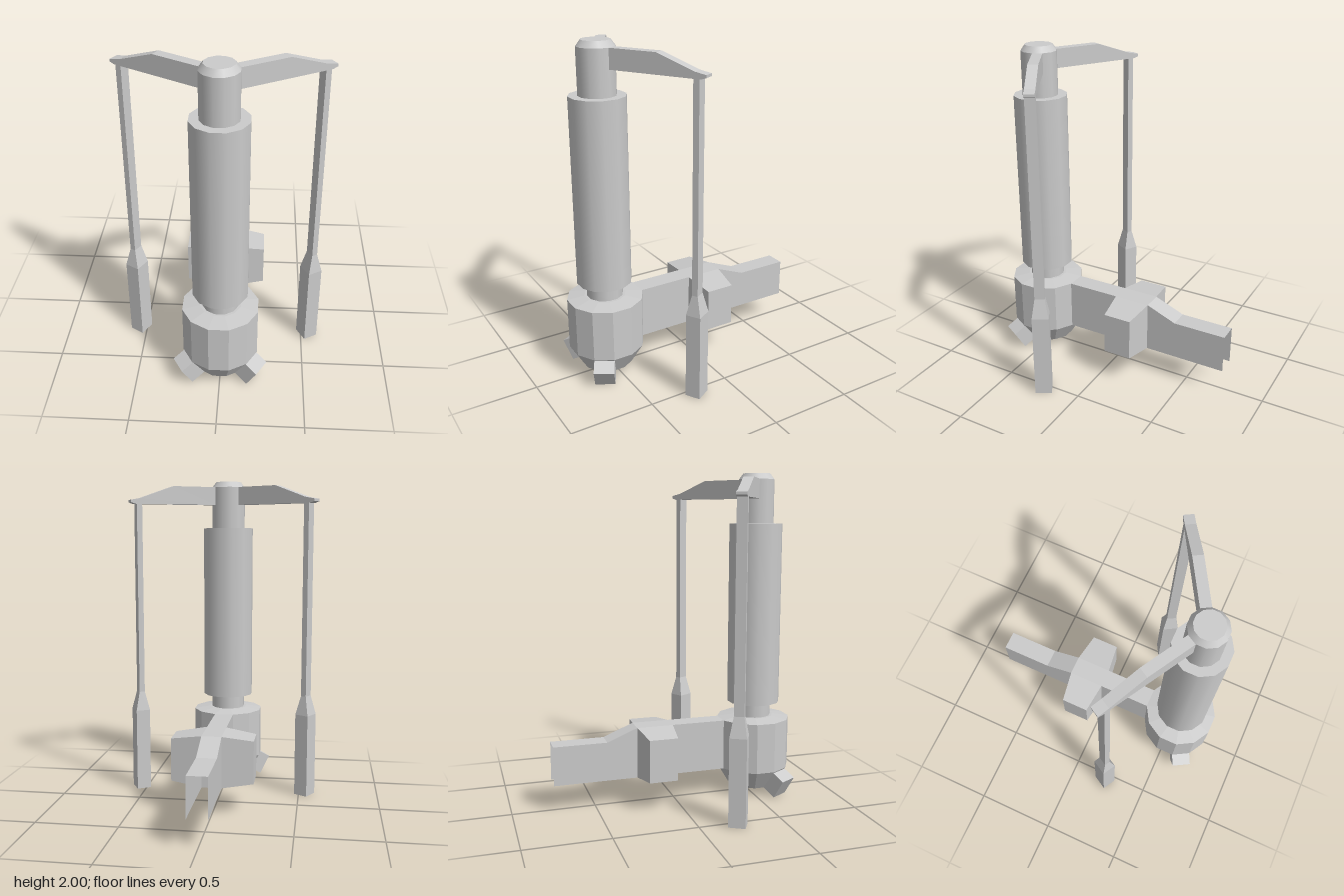
import * as THREE from 'three';

const flat = new THREE.MeshStandardMaterial({ color: 0xcccccc, flatShading: true });
const smooth = new THREE.MeshStandardMaterial({ color: 0xcccccc });
const shell = new THREE.MeshStandardMaterial({ color: 0xcccccc, flatShading: true, side: THREE.DoubleSide });

const SIDES = 12;
const TURN = Math.PI / SIDES;
const toCorner = 1 / Math.cos(TURN); // flat-to-flat radius -> corner radius

function add(parent, name, geometry, material) {
  const mesh = new THREE.Mesh(geometry, material);
  mesh.name = name;
  parent.add(mesh);
  return mesh;
}

// Upright twelve-sided cylinder from y0 to y1
function drum(parent, name, r0, r1, y0, y1) {
  const g = new THREE.CylinderGeometry(r1 * toCorner, r0 * toCorner, y1 - y0, SIDES, 1, false, TURN);
  return add(parent, name, g.translate(0, (y0 + y1) / 2, 0), smooth);
}

// Skin joining successive rows of points
function loft(rows) {
  const n = rows[0].length;
  const index = [];
  for (let i = 0; i < rows.length - 1; i++) {
    for (let j = 0; j < n - 1; j++) {
      const a = i * n + j, b = a + 1, c = a + n, d = c + 1;
      index.push(a, c, d, a, d, b);
    }
  }
  const g = new THREE.BufferGeometry();
  g.setAttribute('position', new THREE.Float32BufferAttribute(rows.flat(2), 3));
  g.setIndex(index);
  const out = g.toNonIndexed();
  out.computeVertexNormals();
  return out;
}

// Beam section: two walls and a top, open underneath
const channel = (z, top) => [[0.06, 0.17, z], [0.06, top, z], [-0.06, top, z], [-0.06, 0.17, z]];

// Hub section across x, open underneath
const hubRow = (x, y0, y1, z0, z1) => [[x, y0, z0], [x, y1, z0], [x, y1, z1], [x, y0, z1]];

// Square post section around a centre r along local x
function postRow(y, r, wr, wt) {
  const a = wr / 2, b = wt / 2;
  return [[r + a, y, -b], [r + a, y, b], [r - a, y, b], [r - a, y, -b], [r + a, y, -b]];
}

// Arm with a hanging leg, reaching out along local x
function armAndLeg(side) {
  const group = new THREE.Group();
  group.name = side + 'Arm';
  const shape = new THREE.Shape([
    [0.1, 1.85], [0.645, 1.85], [0.675, 1.86], [0.675, 1.875],
    [0.61, 1.887], [0.39, 1.965], [0.1, 1.965],
  ].map(([x, y]) => new THREE.Vector2(x, y)));
  const arm = new THREE.ExtrudeGeometry(shape, { depth: 0.06, bevelEnabled: false });
  add(group, side + 'ArmBracket', arm.translate(0, 0, -0.03), flat);
  add(group, side + 'Leg', loft([
    postRow(0, 0.62, 0.09, 0.1), postRow(0.525, 0.62, 0.09, 0.1),
    postRow(0.645, 0.62, 0.035, 0.06), postRow(1.86, 0.62, 0.035, 0.06),
  ]), shell);
  return group;
}

export function createModel() {
  const model = new THREE.Group();
  model.name = 'columnAssembly';

  // Everything gathered round the upright axis
  const tower = new THREE.Group();
  tower.name = 'tower';
  tower.position.z = 0.533;
  model.add(tower);

  const profile = [[0, 0.05], [0.15, 0.05], [0.22, 0.17], [0.22, 0.483], [0.12, 0.497], [0, 0.497]]
    .map(([r, y]) => new THREE.Vector2(r * toCorner, y));
  add(tower, 'base', new THREE.LatheGeometry(profile, SIDES, TURN), flat);
  drum(tower, 'rod', 0.105, 0.105, 0.49, 1.965);
  drum(tower, 'rodCap', 0.105, 0.08, 1.965, 2);
  drum(tower, 'column', 0.158, 0.158, 0.585, 1.7);

  // Arms and legs swept backward, feet splayed forward
  for (const [side, angle] of [['left', Math.PI / 6], ['right', Math.PI * 5 / 6]]) {
    const arm = armAndLeg(side);
    arm.rotation.y = angle;
    tower.add(arm);

    const foot = new THREE.BoxGeometry(0.12, 0.133, 0.12);
    foot.translate(-0.06, 0, 0).rotateZ(-Math.PI / 6).translate(0.254, 0.063, 0);
    add(tower, side + 'Foot', foot, flat).rotation.y = -angle;
  }

  // Channel beam running to the back, open at its end
  add(model, 'beamFront', loft([channel(0.34, 0.483), channel(-0.02, 0.483)]), shell);
  add(model, 'beamBack', loft([
    channel(-0.245, 0.483), channel(-0.43, 0.408), channel(-0.755, 0.408),
  ]), shell);

  // Cross hub tapering toward both ends
  const end = (x) => hubRow(x, 0.195, 0.455, -0.045, -0.218);
  const tip = (x) => hubRow(x, 0.195, 0.195, -0.13, -0.13);
  const mid = (x) => hubRow(x, 0.17, 0.483, -0.02, -0.245);
  add(model, 'crossHub', loft([
    tip(-0.248), end(-0.248), mid(-0.06), mid(0.06), end(0.248), tip(0.248),
  ]), shell);

  return model;
}
